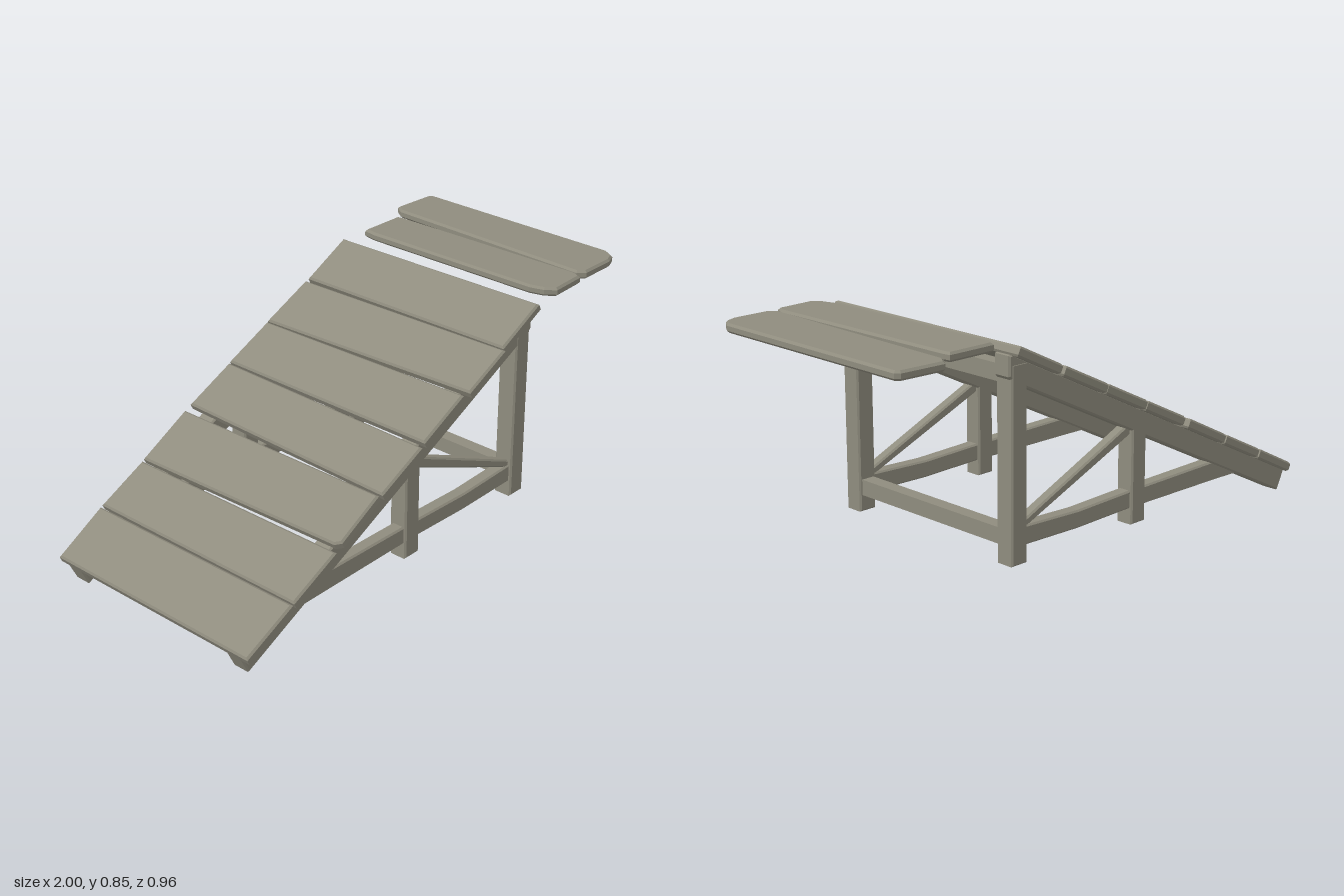
import * as THREE from 'three';

const wood = new THREE.MeshStandardMaterial({ color: 0x8f8c7e });
wood.name = 'weathered wood';

const SLOPE = Math.atan2(0.444, 0.896);

// bevelled slab from an outline; the bevel stays inside the outline and thickness
function slab(points, thickness, bevel) {
  const shape = new THREE.Shape(points.map(([x, y]) => new THREE.Vector2(x, y)));
  const geo = new THREE.ExtrudeGeometry(shape, {
    depth: thickness - 2 * bevel, bevelThickness: bevel, bevelSize: bevel,
    bevelOffset: -bevel, bevelSegments: 1, curveSegments: 1,
  });
  return geo.translate(0, 0, bevel);
}

function add(parent, name, geo) {
  const mesh = new THREE.Mesh(geo, wood);
  mesh.name = name;
  parent.add(mesh);
  return mesh;
}

// upright timber drawn in the side plane, centred on z
const timber = (points, width, z) => slab(points, width, 0.006).translate(0, 0, z - width / 2);

// flat board drawn as x, z corners, lying on y = 0
const board = (points, thickness, bevel) =>
  slab(points.map(([x, z]) => [x, -z]), thickness, bevel).rotateX(-Math.PI / 2);

const rect = (x0, y0, x1, y1) => [[x0, y0], [x1, y0], [x1, y1], [x0, y1]];

export function createModel() {
  const group = new THREE.Group();
  group.name = 'wooden ramp';

  // side frames
  for (const side of [1, -1]) {
    const frame = new THREE.Group();
    frame.name = side > 0 ? 'frontFrame' : 'backFrame';
    const z = side * 0.387;
    add(frame, 'slopedBeam', timber([[-0.945, 0], [0.47, 0.703], [0.485, 0.72], [0.485, 0.79], [0.47, 0.794], [-0.982, 0.076]], 0.072, z));
    add(frame, 'tallPost', timber(rect(0.403, 0.07, 0.475, 0.76), 0.075, z));
    add(frame, 'middlePost', timber(rect(-0.182, 0.07, -0.11, 0.43), 0.072, z));
    add(frame, 'lowerRail', timber([[-0.72, 0.124], [-0.1, 0.128], [0.15, 0.122], [0.42, 0.128], [0.42, 0.198], [0.15, 0.187], [-0.11, 0.194], [-0.56, 0.199]], 0.052, z));
    add(frame, 'diagonalBrace', timber([[-0.125, 0.402], [0.39, 0.19], [0.42, 0.19], [0.42, 0.208], [-0.09, 0.43], [-0.125, 0.43]], 0.042, z));
    group.add(frame);
  }

  // rails joining the tall posts
  for (const [name, y0, y1] of [['lowerCrossRail', 0.132, 0.19], ['upperCrossRail', 0.69, 0.75]]) {
    add(group, name, timber(rect(0.413, y0, 0.465, y1), 0.74, 0));
  }

  // ramp planks: corners as x, z on the plan, back left first, clockwise
  const planks = [
    [[-1, -0.44], [-0.793, -0.455], [-0.79, 0.47], [-1, 0.47]],
    [[-0.785, -0.455], [-0.592, -0.455], [-0.585, 0.47], [-0.785, 0.47]],
    [[-0.583, -0.457], [-0.368, -0.467], [-0.362, 0.455], [-0.55, 0.463], [-0.565, 0.44]],
    [[-0.34, -0.467], [-0.146, -0.463], [-0.157, 0.466], [-0.356, 0.466]],
    [[-0.14, -0.465], [0.052, -0.46], [0.064, 0.46], [-0.14, 0.462]],
    [[0.056, -0.462], [0.255, -0.456], [0.268, 0.475], [0.08, 0.475]],
    [[0.267, -0.453], [0.466, -0.457], [0.472, 0.46], [0.272, 0.463]],
  ];
  const deck = new THREE.Group();
  deck.name = 'rampDeck';
  planks.forEach((corners, i) => {
    const along = corners.map(([x, z]) => [(x + 1) / Math.cos(SLOPE), z]).reverse();
    add(deck, `rampPlank${i + 1}`, board(along, 0.036, 0.007));
  });
  deck.position.set(-0.984, 0.068, 0);
  deck.rotation.z = SLOPE;
  group.add(deck);

  // level planks beyond the top of the ramp
  const loose = [
    [[0.55, -0.42], [0.735, -0.418], [0.74, -0.39], [0.75, 0.41], [0.735, 0.445], [0.59, 0.452], [0.56, 0.415], [0.545, 0.36], [0.542, -0.37]],
    [[0.815, -0.485], [0.985, -0.475], [1, -0.46], [0.995, 0.38], [0.97, 0.42], [0.93, 0.436], [0.785, 0.437], [0.76, 0.41], [0.79, -0.45]],
  ];
  loose.forEach((corners, i) => {
    add(group, `levelPlank${i + 1}`, board(corners.reverse(), 0.033, 0.008)).position.y = 0.814;
  });

  return group;
}
